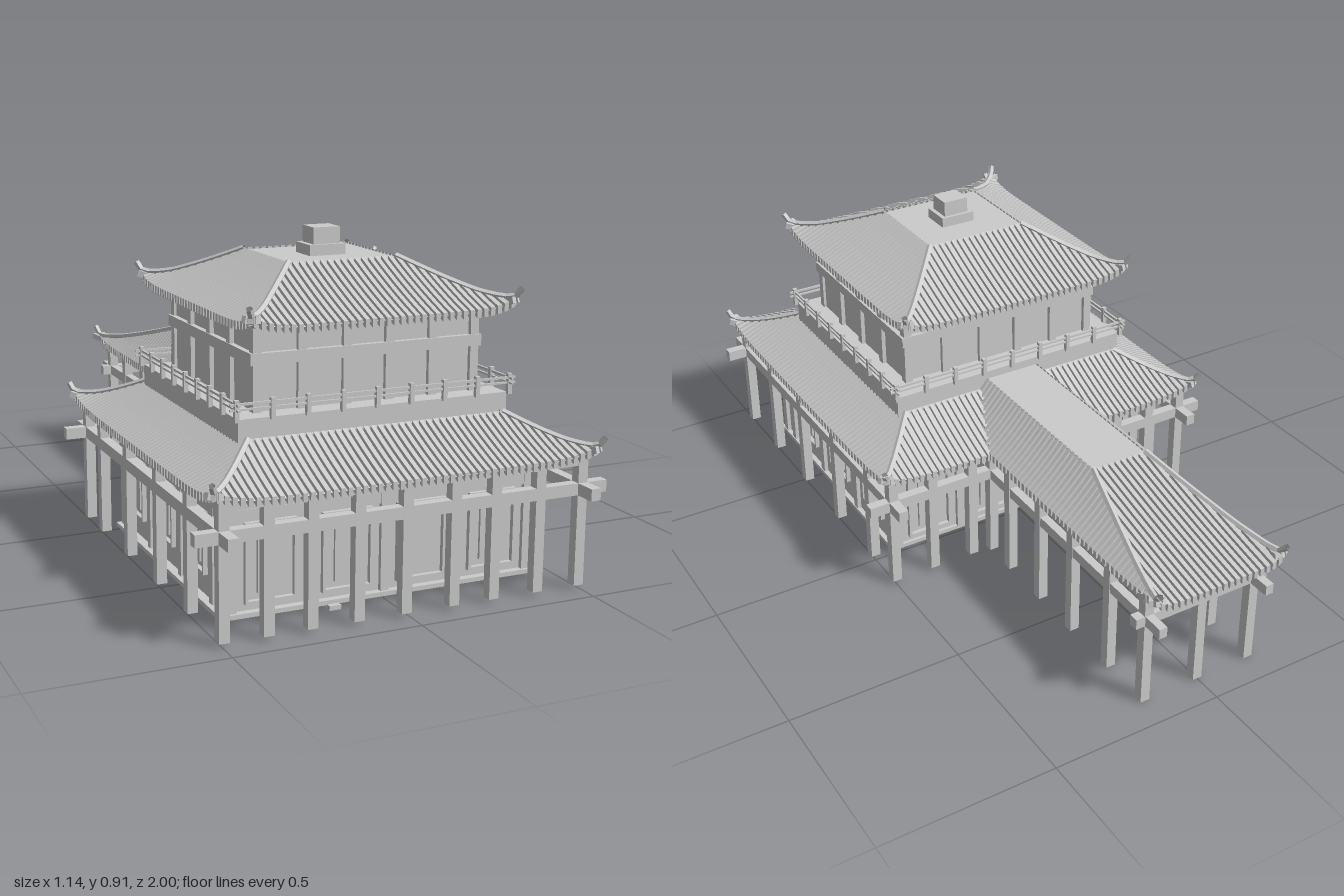
import * as THREE from 'three';
import { mergeGeometries } from 'three/addons/utils/BufferGeometryUtils.js';

const mat = new THREE.MeshStandardMaterial({ color: 0xcccccc, flatShading: true, side: THREE.DoubleSide });
const CZ = 0.4; // middle of the main hall along z

const part = (name, geos) => {
  const list = [geos].flat().map((g) => {
    const n = g.index ? g.toNonIndexed() : g;
    n.computeVertexNormals();
    return n;
  });
  const mesh = new THREE.Mesh(mergeGeometries(list), mat);
  mesh.name = name;
  return mesh;
};

// Box given by its limits on each axis
const box = (x0, x1, y0, y1, z0, z1) =>
  new THREE.BoxGeometry(x1 - x0, y1 - y0, z1 - z0).translate((x0 + x1) / 2, (y0 + y1) / 2, (z0 + z1) / 2);
const post = (x, z, y0, y1, w) => box(x - w / 2, x + w / 2, y0, y1, z - w / 2, z + w / 2);

// One side of a hipped roof: outer eave A-B, inner top edge a-b ([x, z] pairs)
function roofSide(A, B, a, b, y0, y1, lift) {
  const dir = new THREE.Vector2(B[0] - A[0], B[1] - A[1]);
  const L = dir.length();
  dir.normalize();
  const along = (p) => (p[0] - A[0]) * dir.x + (p[1] - A[1]) * dir.y;
  const ua = along(a), ub = along(b);
  const nx = -dir.y, nz = dir.x;
  const depth = (a[0] - A[0]) * nx + (a[1] - A[1]) * nz;
  const point = (u, s) => {
    // the eave sweeps upward only where the side ends in a hip
    const k = Math.abs(2 * u / L - 1);
    const hip = u < L / 2 ? ua > 0.01 : ub < L - 0.01;
    const y = y1 - (y1 - y0) * (1.15 * s - 0.15 * s * s) + (hip ? lift * k ** 8 * s * s : 0);
    const d = depth * (1 - s);
    return new THREE.Vector3(A[0] + dir.x * u + nx * d, y, A[1] + dir.y * u + nz * d);
  };
  // sloping deck
  const deck = new THREE.PlaneGeometry(1, 1, 24, 6);
  const dp = deck.attributes.position;
  for (let i = 0; i < dp.count; i++) {
    const v = dp.getX(i) + 0.5, s = 0.5 - dp.getY(i);
    const lo = ua * (1 - s), hi = ub + (L - ub) * s;
    const p = point(lo + (hi - lo) * v, s);
    dp.setXYZ(i, p.x, p.y, p.z);
  }
  // tile ribs run from the top edge or the hip down to the eave
  const ribs = [], n = Math.round(L / 0.02);
  for (let i = 0; i < n; i++) {
    const u = (i + 0.5) * L / n;
    const start = u < ua ? 1 - u / ua : u > ub ? (u - ub) / (L - ub) : 0;
    const rib = new THREE.BoxGeometry(0.012, 0.022, 1, 1, 1, 5);
    const rp = rib.attributes.position;
    for (let j = 0; j < rp.count; j++) {
      const s = start + (1.03 - start) * (rp.getZ(j) + 0.5);
      const p = point(u + rp.getX(j), s);
      rp.setXYZ(j, p.x, p.y + rp.getY(j), p.z);
    }
    ribs.push(rib);
  }
  return { deck, ribs, hip: (s) => point(ua * (1 - s), s) };
}

// Hipped roof; o and t are [x0, x1, z0, z1] of the eave and of the flat top
function roof(name, o, t, y0, y1, { lift = 0.025, openFront = false } = {}) {
  const g = new THREE.Group();
  g.name = name;
  const corners = ([x0, x1, z0, z1]) => [[x0, z1], [x0, z0], [x1, z0], [x1, z1]];
  const O = corners(o), T = corners(t);
  const decks = [], ribs = [], hips = [];
  for (let i = 0; i < (openFront ? 3 : 4); i++) {
    const j = (i + 1) % 4;
    const side = roofSide(O[i], O[j], T[i], T[j], y0, y1, lift);
    decks.push(side.deck);
    ribs.push(...side.ribs);
    if (openFront && i === 0) continue;
    // hip ridge with an upturned tip
    const pts = [0, 0.25, 0.5, 0.75, 1].map((s) => side.hip(s).add(new THREE.Vector3(0, 0.01, 0)));
    const out = pts[4].clone().sub(pts[3]).setY(0).normalize();
    const tip = pts[4].clone();
    pts.push(tip.clone().addScaledVector(out, 0.018).add(new THREE.Vector3(0, 0.022, 0)));
    hips.push(new THREE.TubeGeometry(new THREE.CatmullRomCurve3(pts), 14, 0.009, 5));
    // rafter heads fanned below the corner
    for (const turn of [-0.45, 0, 0.45]) {
      const rafter = new THREE.BoxGeometry(0.012, 0.018, 0.09);
      rafter.rotateX(-0.3).rotateY(Math.atan2(out.x, out.z) + turn);
      hips.push(rafter.translate(tip.x - out.x * 0.035, tip.y - 0.02, tip.z - out.z * 0.035));
    }
  }
  g.add(part('roofDeck', decks), part('tileRibs', ribs), part('hipRidges', hips));
  g.add(part('roofTop', box(t[0], t[1], y1 - 0.01, y1 + 0.006, t[2], t[3])));
  return g;
}

// Four bars round a rectangle, running past the corners by "over"
const ring = (hx, z0, z1, y0, y1, w, over) => [
  ...[-hx, hx].map((x) => box(x - w / 2, x + w / 2, y0, y1, z0 - over, z1 + over)),
  ...[z0, z1].map((z) => box(-hx - over, hx + over, y0, y1, z - w / 2, z + w / 2)),
];

// Window or door frame with a thin panel; across = true on walls facing z
function frame(u, wall, y0, y1, w, across) {
  const bar = (u0, u1, v0, v1, d) => across
    ? box(u0, u1, v0, v1, wall - d, wall + d) : box(wall - d, wall + d, v0, v1, u0, u1);
  const h = w / 2, t = 0.008;
  return [
    bar(u - h, u - h + t, y0, y1, 0.008), bar(u + h - t, u + h, y0, y1, 0.008),
    bar(u - h, u + h, y1 - t, y1, 0.008), bar(u - h, u + h, y0, y0 + t, 0.008),
    bar(u - h * 0.5, u + h * 0.5, y0 + 0.025, y1 - 0.025, 0.004),
  ];
}

export function createModel() {
  const model = new THREE.Group();
  model.name = 'pavilion';

  // Lower hall
  model.add(part('floorSlab', box(-0.455, 0.445, 0.01, 0.022, 0, 0.81)));
  model.add(part('steps', [-0.15, 0.185].map((x) => box(x - 0.016, x + 0.016, 0, 0.012, 0.76, 0.825))));
  model.add(part('lowerWalls', box(-0.43, 0.43, 0.02, 0.36, 0.01, 0.79)));
  const pilasters = [], frames = [];
  const frontX = [-0.42, -0.21, 0, 0.21, 0.42], sideZ = [0.02, 0.25, 0.49, 0.715, 0.78];
  for (const z of [0.01, 0.79]) for (const x of frontX) pilasters.push(post(x, z, 0.02, 0.35, 0.024));
  for (const x of [-0.43, 0.43]) for (const z of sideZ) pilasters.push(post(x, z, 0.02, 0.35, 0.024));
  for (const x of [-0.435, 0.435]) for (const z of [0.135, 0.37, 0.6]) frames.push(...frame(z, x, 0.08, 0.25, 0.13, false));
  for (const z of [0.005, 0.795]) for (const x of [-0.315, -0.105, 0.105, 0.315]) frames.push(...frame(x, z, 0.04, 0.25, 0.14, true));
  model.add(part('lowerPilasters', pilasters), part('windowFrames', frames));
  model.add(part('lowerWallBand', ring(0.432, 0.008, 0.792, 0.255, 0.285, 0.016, 0)));

  // Outer colonnade
  const columns = [];
  for (const x of [-0.495, -0.38, -0.265, -0.14, -0.01, 0.125, 0.24, 0.37, 0.495]) {
    columns.push(post(x, 0.925, 0.01, 0.355, 0.028));
    if (Math.abs(x) > 0.2) columns.push(post(x, -0.12, 0.01, 0.355, 0.028));
  }
  for (const x of [-0.495, 0.495])
    for (const z of [0.715, 0.49, 0.25, 0.02]) columns.push(post(x, z, 0.01, 0.355, 0.028));
  model.add(part('columns', columns));
  model.add(part('tieBeams', ring(0.495, -0.12, 0.925, 0.255, 0.287, 0.028, 0.073)));
  model.add(part('eaveBeams', ring(0.495, -0.12, 0.925, 0.333, 0.35, 0.024, 0.01)));
  model.add(roof('lowerRoof', [-0.525, 0.525, -0.155, 0.955], [-0.36, 0.36, 0.04, 0.76], 0.352, 0.438));

  // Balcony and railing
  model.add(part('balcony', box(-0.38, 0.38, 0.42, 0.495, 0.05, 0.745)));
  const rails = [...ring(0.385, 0.045, 0.748, 0.518, 0.523, 0.006, 0.018),
    ...ring(0.385, 0.045, 0.748, 0.531, 0.537, 0.006, 0.018)];
  for (let i = 0; i <= 8; i++) {
    const x = -0.385 + i * 0.77 / 8, z = 0.045 + i * 0.703 / 8;
    for (const zz of [0.045, 0.748]) rails.push(post(x, zz, 0.49, 0.545, 0.012));
    for (const xx of [-0.385, 0.385]) rails.push(post(xx, z, 0.49, 0.545, 0.012));
  }
  model.add(part('railing', rails));

  // Upper storey
  model.add(part('upperWalls', box(-0.312, 0.312, 0.49, 0.735, 0.125, 0.685)));
  const upper = [];
  for (const x of [-0.308, -0.185, -0.06, 0.06, 0.185, 0.308])
    for (const z of [0.125, 0.685]) upper.push(post(x, z, 0.49, 0.735, 0.024));
  for (const z of [0.265, 0.405, 0.545])
    for (const x of [-0.312, 0.312]) upper.push(post(x, z, 0.49, 0.735, 0.024));
  model.add(part('upperPilasters', upper));
  model.add(part('upperBand', ring(0.312, 0.125, 0.685, 0.615, 0.645, 0.03, 0.014)));
  model.add(roof('upperRoof', [-0.365, 0.365, 0.005, 0.795], [-0.155, 0.155, 0.25, 0.54], 0.722, 0.83));
  model.add(part('finial', [box(-0.047, 0.058, 0.83, 0.865, CZ - 0.05, CZ + 0.04),
    box(-0.032, 0.045, 0.865, 0.91, CZ - 0.04, CZ + 0.03)]));

  // Rear covered walk
  const walk = new THREE.Group();
  walk.name = 'coveredWalk';
  const walkParts = [], walkBeams = [];
  for (const x of [-0.17, 0.17]) {
    for (const z of [-0.12, -0.23, -0.395, -0.56, -0.74, -0.9]) walkParts.push(post(x, z, 0, 0.36, 0.028));
    walkBeams.push(box(x - 0.012, x + 0.012, 0.255, 0.285, -0.975, 0.01));
    walkBeams.push(box(x - 0.012, x + 0.012, 0.335, 0.352, -0.94, 0.01));
  }
  walkParts.push(post(0, -0.9, 0, 0.36, 0.028));
  walkBeams.push(box(-0.21, 0.21, 0.255, 0.285, -0.914, -0.886), box(-0.19, 0.19, 0.335, 0.352, -0.912, -0.888));
  walk.add(part('walkColumns', walkParts), part('walkBeams', walkBeams));
  walk.add(roof('walkRoof', [-0.195, 0.195, -0.975, 0.05], [-0.085, 0.085, -0.52, 0.05], 0.355, 0.465,
    { lift: 0.02, openFront: true }));
  model.add(walk);

  return model;
}
